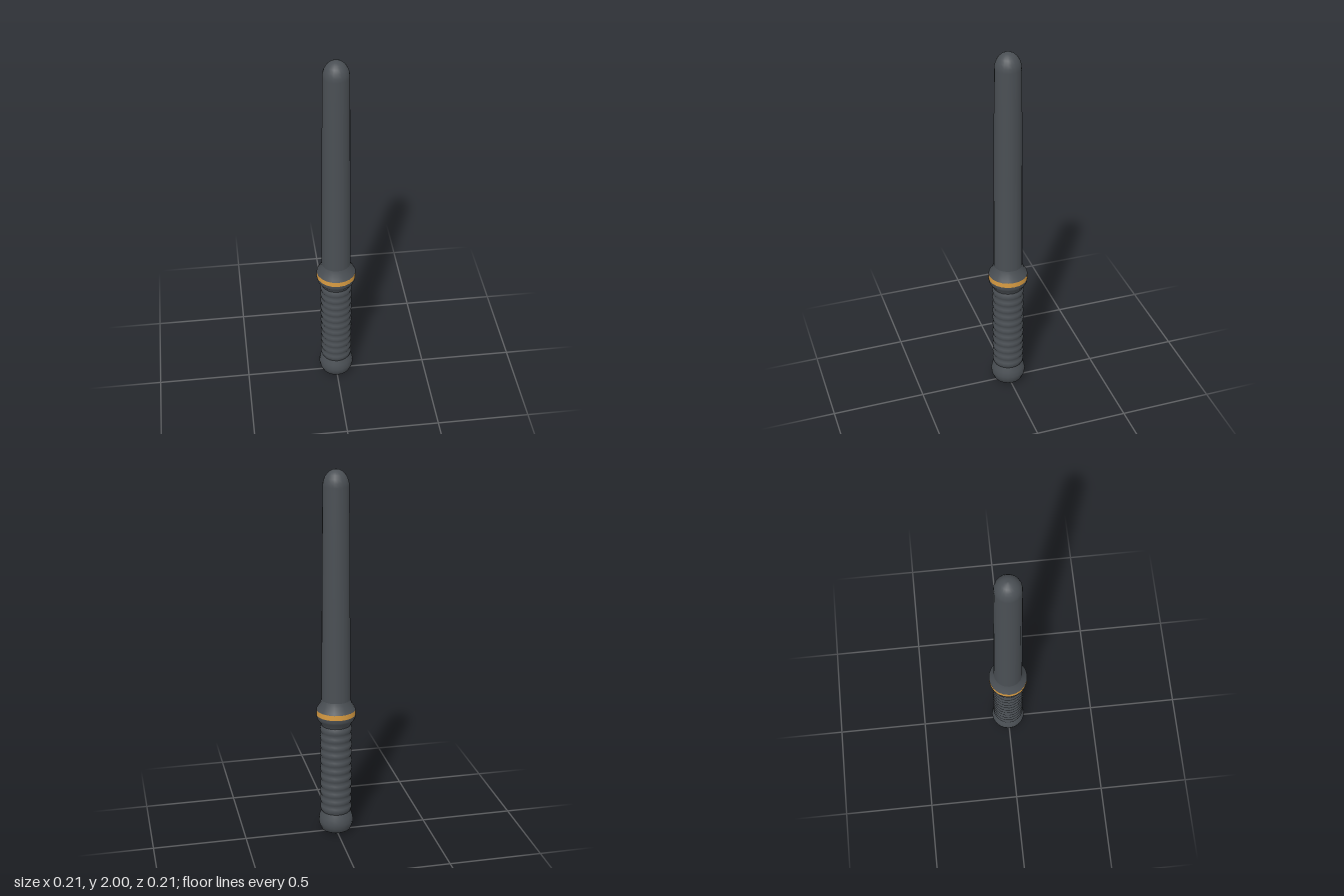
import * as THREE from 'three';

const SIDES = 20;

export function createModel() {
  const group = new THREE.Group();
  group.name = 'baton';
  const rubber = new THREE.MeshStandardMaterial({ color: 0x4a4f54 });
  rubber.name = 'dark grey rubber';
  const gold = new THREE.MeshStandardMaterial({ color: 0xd99c42 });
  gold.name = 'gold';

  // Turned part from [radius, height] pairs, listed bottom to top
  const turn = (name, profile, material) => {
    const points = profile.map(([r, y]) => new THREE.Vector2(r, y));
    const mesh = new THREE.Mesh(new THREE.LatheGeometry(points, SIDES), material);
    mesh.name = name;
    group.add(mesh);
  };

  // Rounded pommel
  turn('pommel', [[0, 0], [0.055, 0.003], [0.08, 0.018], [0.091, 0.045], [0.095, 0.068],
    [0.09, 0.095], [0.079, 0.125]], rubber);

  // Ribbed grip
  const ribs = 11, bottom = 0.125, top = 0.63, pitch = (top - bottom) / ribs;
  const grip = [];
  for (let i = 0; i < ribs; i++) {
    const y = bottom + i * pitch;
    grip.push([0.079, y], [0.084, y + pitch * 0.25], [0.086, y + pitch * 0.5], [0.084, y + pitch * 0.75]);
  }
  grip.push([0.079, top]);
  turn('grip', grip, rubber);

  // Flared collar with a gold band
  turn('lowerCollar', [[0.079, 0.63], [0.085, 0.645], [0.099, 0.663], [0.104, 0.675], [0.105, 0.69]], rubber);
  turn('collarBand', [[0.105, 0.69], [0.105, 0.718]], gold);
  turn('upperCollar', [[0.105, 0.718], [0.1, 0.727], [0.085, 0.752], [0.078, 0.775]], rubber);

  // Tapered shaft with a domed tip
  const shaft = [[0.078, 0.775], [0.076, 1.0], [0.073, 1.35], [0.07, 1.7], [0.068, 1.915]];
  for (let i = 1; i <= 6; i++) {
    const a = (i / 6) * Math.PI / 2;
    shaft.push([0.068 * Math.cos(a), 1.915 + 0.085 * Math.sin(a)]);
  }
  turn('shaft', shaft, rubber);

  return group;
}
